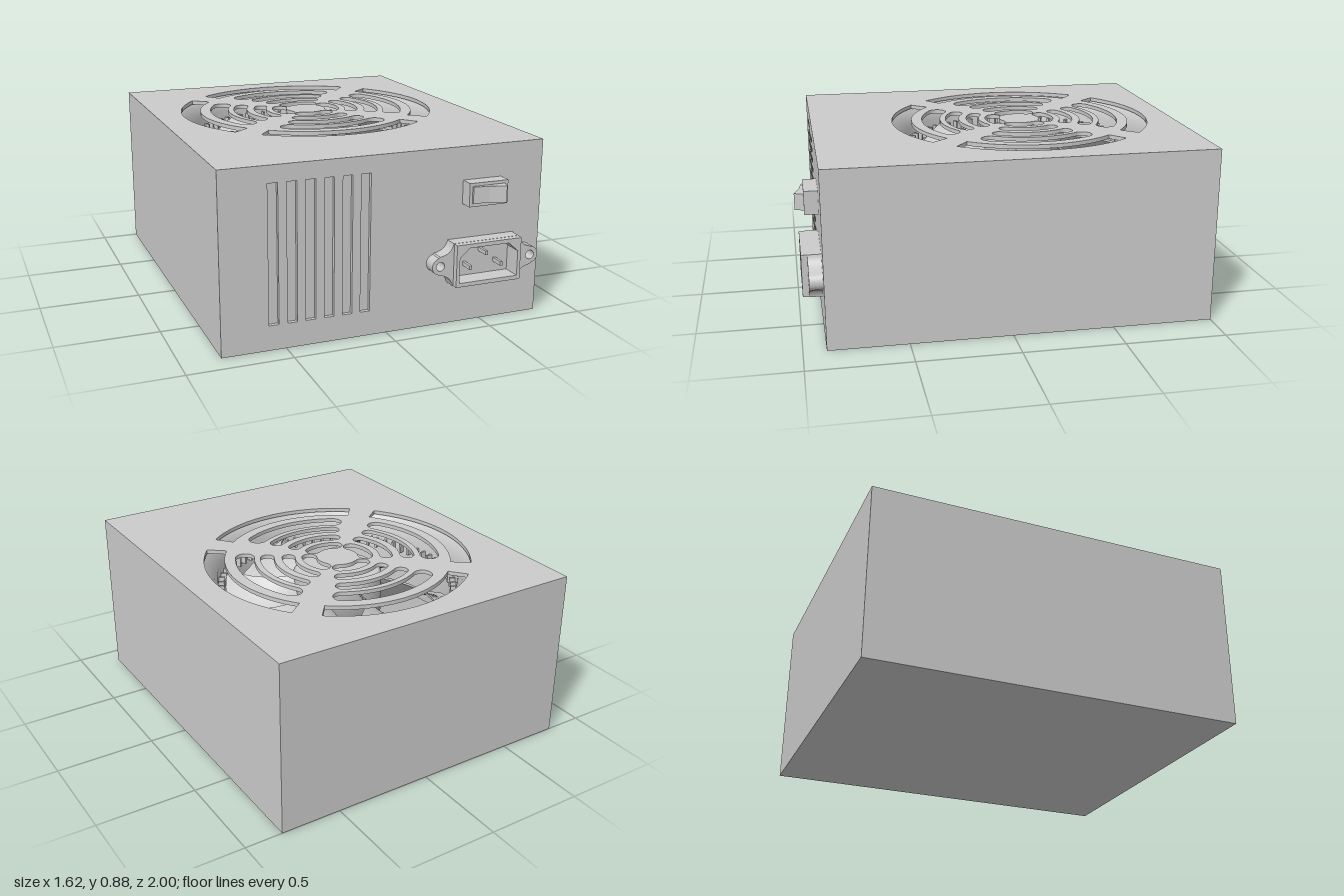
import * as THREE from 'three';
import { mergeGeometries } from 'three/addons/utils/BufferGeometryUtils.js';

const grey = new THREE.MeshStandardMaterial({ color: 0xcccccc });
const thin = new THREE.MeshStandardMaterial({ color: 0xcccccc, side: THREE.DoubleSide });

const W = 1.62, H = 0.875, BACK = -1, FRONT = 0.89, T = 0.02;
const FAN_Z = -0.2;

// Rectangle outline from its corners
function rect(x0, y0, x1, y1, Type = THREE.Shape) {
  const p = new Type();
  p.moveTo(x0, y0);
  p.lineTo(x1, y0);
  p.lineTo(x1, y1);
  p.lineTo(x0, y1);
  p.closePath();
  return p;
}

// Curved slot around (0, cy); rounded adds half-circle ends
function arcSlot(cy, r0, r1, mid, half, rounded) {
  const p = new THREE.Path(), rm = (r0 + r1) / 2, w = (r1 - r0) / 2;
  const a = mid - half, b = mid + half;
  p.absarc(0, cy, r1, a, b, false);
  if (rounded) p.absarc(rm * Math.cos(b), cy + rm * Math.sin(b), w, b, b + Math.PI, false);
  p.absarc(0, cy, r0, b, a, true);
  if (rounded) p.absarc(rm * Math.cos(a), cy + rm * Math.sin(a), w, a + Math.PI, a + 2 * Math.PI, false);
  p.closePath();
  return p;
}

const extrude = (shape, depth) =>
  new THREE.ExtrudeGeometry(shape, { depth, bevelEnabled: false, curveSegments: 20 });

function add(parent, name, geometry, x = 0, y = 0, z = 0, material = grey) {
  const m = new THREE.Mesh(geometry, material);
  m.name = name;
  m.position.set(x, y, z);
  parent.add(m);
  return m;
}

function addCase(g) {
  const D = FRONT - BACK, midZ = (FRONT + BACK) / 2, wallH = H - 2 * T;
  add(g, 'bottomPanel', new THREE.BoxGeometry(W, T, D), 0, T / 2, midZ);
  for (const s of [-1, 1])
    add(g, s > 0 ? 'leftPanel' : 'rightPanel', new THREE.BoxGeometry(T, wallH, D), s * (W - T) / 2, H / 2, midZ);
  add(g, 'backPanel', new THREE.BoxGeometry(W - 2 * T, wallH, T), 0, H / 2, BACK + T / 2);

  // Top panel with four groups of curved grille slots
  const top = rect(-W / 2, -FRONT, W / 2, -BACK);
  const rings = [[0.105, 0.18, 28], [0.215, 0.28, 29], [0.32, 0.39, 29], [0.42, 0.515, 30], [0.57, 0.672, 39]];
  for (let q = 0; q < 4; q++)
    rings.forEach(([r0, r1, deg], i) =>
      top.holes.push(arcSlot(-FAN_Z, r0, r1, q * Math.PI / 2, THREE.MathUtils.degToRad(deg), i < 4)));
  add(g, 'topGrille', extrude(top, T), 0, H - T, 0).rotation.x = -Math.PI / 2;

  // Front panel with shallow upright vents
  const front = rect(-W / 2 + T, T, W / 2 - T, H - T);
  for (let i = 0; i < 6; i++) {
    const x = -0.582 + i * 0.0895;
    front.holes.push(rect(x, 0.122, x + 0.048, 0.792, THREE.Path));
  }
  add(g, 'frontPanel', extrude(front, T), 0, 0, FRONT - T);
  add(g, 'ventBacking', new THREE.BoxGeometry(0.56, 0.71, T), -0.334, 0.457, FRONT - 1.5 * T);
}

function addFan(g) {
  const fan = new THREE.Group();
  fan.name = 'fan';
  fan.position.set(0, 0, FAN_Z);
  g.add(fan);

  // Flared intake and straight hoop
  const hoop = [[0.685, H - T], [0.61, 0.78], [0.605, 0.45], [0.64, 0.45]].map(p => new THREE.Vector2(...p));
  add(fan, 'fanHoop', new THREE.LatheGeometry(hoop, 64), 0, 0, 0, thin);

  // Small ribs around the inside of the hoop
  const ribs = [];
  for (let i = 0; i < 72; i++)
    ribs.push(new THREE.BoxGeometry(0.03, 0.05, 0.012).translate(0.592, 0.72, 0).rotateY(i * Math.PI / 36));
  add(fan, 'hoopRibs', mergeGeometries(ribs));

  const hub = [[0, 0.55], [0.225, 0.55], [0.225, 0.79], [0.205, 0.81], [0, 0.81]].map(p => new THREE.Vector2(...p));
  add(fan, 'fanHub', new THREE.LatheGeometry(hub, 40));

  // Pitched, swept blades
  const blade = new THREE.BoxGeometry(1, 0.012, 1, 8, 1, 8);
  const p = blade.attributes.position;
  for (let i = 0; i < p.count; i++) {
    const u = p.getX(i) + 0.5, v = p.getZ(i);
    const r = 0.21 + 0.36 * u, a = v * (0.72 + 0.1 * u) + 0.3 * u * u;
    p.setXYZ(i, r * Math.cos(a), 0.67 + p.getY(i) + v * (0.2 - 0.04 * u) + 0.05 * v * v, r * Math.sin(a));
  }
  blade.computeVertexNormals();
  for (let i = 0; i < 7; i++)
    add(fan, 'fanBlade', blade).rotation.y = i * 2 * Math.PI / 7;

  // Motor struts under the blades
  for (let i = 0; i < 2; i++)
    add(fan, 'motorStrut', new THREE.BoxGeometry(1.21, 0.04, 0.06), 0, 0.47, 0).rotation.y = Math.PI / 4 + i * Math.PI / 2;
  add(fan, 'motorMount', new THREE.CylinderGeometry(0.23, 0.23, 0.06, 40), 0, 0.49, 0);
}

function addSwitch(g) {
  const sw = new THREE.Group();
  sw.name = 'powerSwitch';
  g.add(sw);
  const frame = rect(0.385, 0.597, 0.588, 0.712);
  frame.holes.push(rect(0.4, 0.613, 0.574, 0.697, THREE.Path));
  add(sw, 'switchFrame', extrude(frame, 0.067), 0, 0, FRONT);

  // Rocker tilted towards one end
  const rocker = new THREE.Shape(
    [[0.402, 0.9], [0.572, 0.9], [0.572, 0.958], [0.558, 1], [0.48, 0.975], [0.402, 0.964]]
      .map(([x, z]) => new THREE.Vector2(x, -z)));
  add(sw, 'rocker', extrude(rocker, 0.08), 0, 0.615, 0).rotation.x = -Math.PI / 2;
}

function addSocket(g) {
  const socket = new THREE.Group();
  socket.name = 'powerSocket';
  socket.position.set(0.488, 0.32, FRONT);
  g.add(socket);

  // Opening with two clipped upper corners
  const opening = () => new THREE.Path(
    [[-0.155, -0.085], [0.155, -0.085], [0.155, 0.04], [0.105, 0.085], [-0.105, 0.085], [-0.155, 0.04]]
      .map(c => new THREE.Vector2(...c)));

  // Flange with a rounded screw ear at each side
  const f = new THREE.Shape();
  f.moveTo(-0.175, -0.106);
  f.lineTo(0.175, -0.106);
  f.quadraticCurveTo(0.185, -0.055, 0.245, -0.048);
  f.absarc(0.242, 0, 0.042, -Math.PI / 2 + 0.2, Math.PI / 2 - 0.2, false);
  f.quadraticCurveTo(0.185, 0.055, 0.175, 0.106);
  f.lineTo(-0.175, 0.106);
  f.quadraticCurveTo(-0.185, 0.055, -0.245, 0.048);
  f.absarc(-0.242, 0, 0.042, Math.PI / 2 + 0.2, Math.PI * 1.5 - 0.2, false);
  f.quadraticCurveTo(-0.185, -0.055, -0.175, -0.106);
  f.holes.push(opening());
  for (const s of [-1, 1])
    f.holes.push(new THREE.Path().absarc(s * 0.242, 0, 0.022, 0, Math.PI * 2, true));
  add(socket, 'socketFlange', extrude(f, 0.065));

  const rim = rect(-0.172, -0.105, 0.172, 0.105);
  rim.holes.push(opening());
  add(socket, 'socketRim', extrude(rim, 0.03), 0, 0, 0.065);

  // Three contact pins
  for (const [x, y] of [[0, 0.04], [-0.083, -0.024], [0.083, -0.024]])
    add(socket, 'contactPin', new THREE.BoxGeometry(0.014, 0.02, 0.07), x, y, 0.035);
}

export function createModel() {
  const g = new THREE.Group();
  g.name = 'powerSupply';
  addCase(g);
  addFan(g);
  addSwitch(g);
  addSocket(g);
  return g;
}
